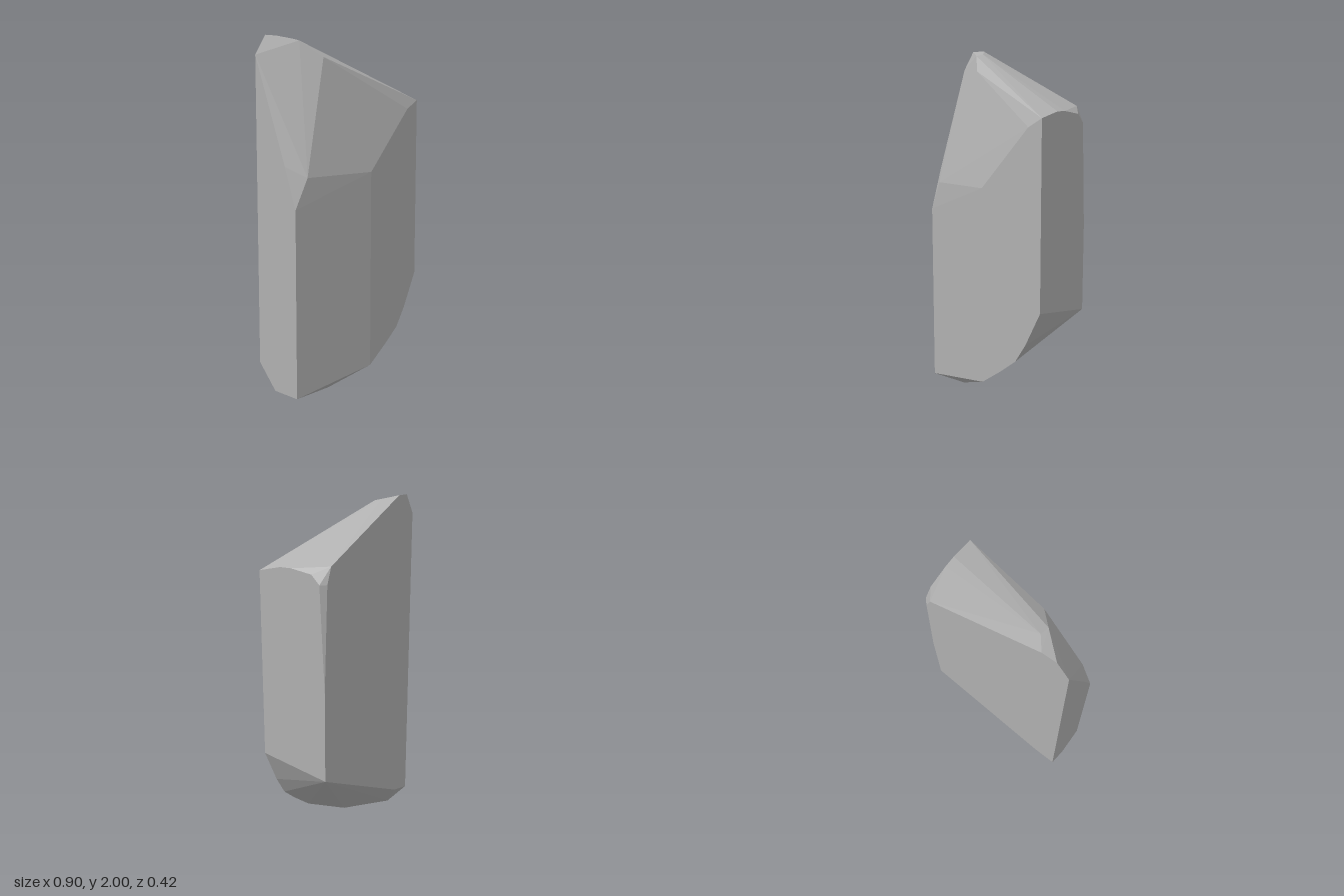
import * as THREE from 'three';
import { ConvexGeometry } from 'three/addons/geometries/ConvexGeometry.js';

const W = 0.448; // half width
const D = 0.21;  // half depth

export function createModel() {
  const group = new THREE.Group();
  group.name = 'rock';
  const stone = new THREE.MeshStandardMaterial({ color: 0xb0b0b0 });
  stone.name = 'stone grey';

  // Curved lower edge of the front face, then its upper slanted edge
  const front = [
    [0.04, 0.1], [0.18, 0.2], [0.28, 0.28], [0.35, 0.39], [W, 0.59],
    [W, 1.64], [0.36, 1.59], [0.04, 1.24],
  ].map(([x, y]) => [x, y, D]);

  // Flat back outline
  const back = [
    [-W, 0.14], [-0.31, 0.17], [W, 0.52], [W, 1.02], [0.42, 1.6],
    [0.385, 1.69], [-0.29, 2], [-0.375, 2], [-W, 1.89],
  ].map(([x, y]) => [x, y, -D]);

  // Rounded top of the +x end
  const leftEnd = [
    [1.67, 0.07], [1.67, 0], [1.65, -0.13], [1.6, -0.18],
  ].map(([y, z]) => [W, y, z]);

  // Narrow -x end, with the slanted upper edge
  const rightEnd = [
    [0, 0.1], [0, -0.08], [1.06, 0.1], [1.29, 0.02],
  ].map(([y, z]) => [-W, y, z]);

  // Foot tip, peak ridge and shoulder
  const extras = [
    [-0.2, 0, 0.1], [-0.23, 1.98, -0.13], [-0.24, 1.97, -0.08],
    [-0.15, 1.88, 0.02], [-0.37, 1.23, 0.114],
  ];

  const points = [...front, ...back, ...leftEnd, ...rightEnd, ...extras]
    .map((p) => new THREE.Vector3(...p));
  const body = new THREE.Mesh(new ConvexGeometry(points), stone);
  body.name = 'rockBody';
  group.add(body);
  return group;
}
